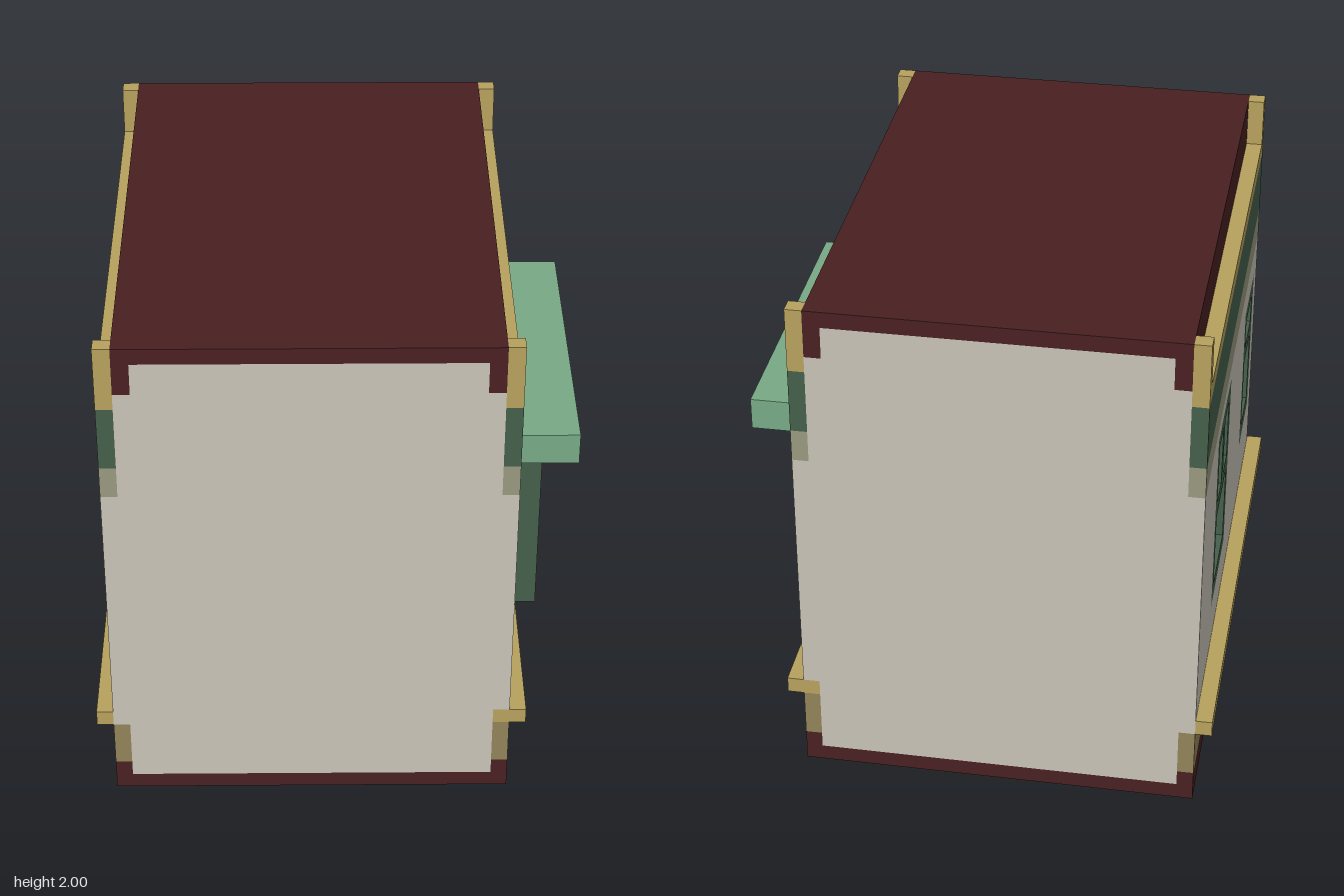
import * as THREE from 'three';

const mat = (name, color) => {
  const m = new THREE.MeshStandardMaterial({ color });
  m.name = name;
  return m;
};

export function createModel() {
  const M = {
    cream: mat('cream plaster', 0xc9c4b8),
    maroon: mat('maroon', 0x4a2022),
    tan: mat('tan trim', 0xb8a25e),
    olive: mat('olive band', 0x92845a),
    sage: mat('sage band', 0x9a9980),
    green: mat('dark green', 0x46604c),
    mint: mat('mint awning', 0x79ab87),
    glass: mat('window glass', 0x6b8179),
  };
  const root = new THREE.Group();
  root.name = 'townhouse';
  const U = 0.0625; // module of wall and trim thickness
  const L = -0.84375, R = 0.65625; // outer wall planes

  // box given by its limits
  function box(name, m, x0, x1, y0, y1, z0, z1, parent = root) {
    const mesh = new THREE.Mesh(new THREE.BoxGeometry(x1 - x0, y1 - y0, z1 - z0), m);
    mesh.name = name;
    mesh.position.set((x0 + x1) / 2, (y0 + y1) / 2, (z0 + z1) / 2);
    parent.add(mesh);
    return mesh;
  }

  // flat panel in the z-y plane with rectangular holes, running from x towards -x
  const corners = ([z0, z1, y0, y1]) =>
    [[z0, y0], [z1, y0], [z1, y1], [z0, y1]].map(p => new THREE.Vector2(...p));
  function panel(name, m, x, outer, holes, parent = root) {
    const shape = new THREE.Shape(corners(outer));
    holes.forEach(h => shape.holes.push(new THREE.Path(corners(h).reverse())));
    const geo = new THREE.ExtrudeGeometry(shape, { depth: U, bevelEnabled: false });
    geo.rotateY(-Math.PI / 2);
    const mesh = new THREE.Mesh(geo, m);
    mesh.name = name;
    mesh.position.x = x;
    parent.add(mesh);
  }

  // core, base and roof
  box('core', M.cream, L + U, R - U, U, 1.8125, -1, 1);
  box('upperCore', M.cream, L + 2 * U, R - 2 * U, 1.8125, 2 - U, -1, 1);
  box('base', M.maroon, L, R, 0, U, -1, 1);
  box('roof', M.maroon, L + U, R - U, 2 - U, 2, -1, 1);

  // banded cladding on both long walls
  const bands = [
    ['plinth', M.maroon, U, 0.125],
    ['lowerBand', M.olive, 0.125, 0.3125],
    ['upperBand', M.sage, 1.375, 1.5],
    ['frieze', M.green, 1.5, 1.75],
    ['cornice', M.tan, 1.75, 1.8125],
  ];
  for (const s of [-1, 1]) {
    const side = s > 0 ? 'right' : 'left';
    const x0 = s > 0 ? R - U : L, x1 = x0 + U;
    const wall = new THREE.Group();
    wall.name = side + 'Cladding';
    root.add(wall);
    for (const [name, m, y0, y1] of bands) box(name, m, x0, x1, y0, y1, -1, 1, wall);
    // parapet backing and corner posts
    box('parapet', M.maroon, x0 - s * U, x1 - s * U, 1.8125, 2 - U, -1, 1, wall);
    for (const z of [-1, 1 - U]) box('cornerPost', M.tan, x0, x1, 1.8125, 2, z, z + U, wall);
  }
  // sill ledges
  box('rightLedge', M.tan, R - U, R + U, 0.3125, 0.375, -1, 1);
  box('leftLedge', M.tan, L - U, L, 0.3125, 0.375, -1, 1);
  box('rightWall', M.cream, R - U, R, 0.375, 1.375, -1, 1);

  // left wall with two recessed windows
  const tall = [-0.53, -0.07, 0.5625, 1.3125];
  const small = [0.52, 0.87, 0.625, 1.25];
  panel('leftWall', M.cream, L + U, [-1, 1, 0.3125, 1.375], [tall, small]);
  panel('tallWindowFrame', M.green, L + U, tall, [
    [tall[0] + U, tall[1] - U, 0.625, 0.9375],
    [tall[0] + U, -0.33, 1, 1.25],
    [-0.27, tall[1] - U, 1, 1.25],
  ]);
  panel('smallWindowFrame', M.green, L + U, small, [
    [small[0] + U, small[1] - U, 0.6875, 1],
    [small[0] + U, small[1] - U, 1.0625, 1.1875],
  ]);
  for (const [z0, z1, y0, y1] of [tall, small])
    box('windowGlass', M.glass, L + U - 0.005, L + U, y0 + 0.03, y1 - 0.03, z0 + 0.03, z1 - 0.03);

  // bay window on the right wall
  const bay = new THREE.Group();
  bay.name = 'bayWindow';
  root.add(bay);
  box('bayGlass', M.glass, R, R + 0.005, 0.53, 1.25, -0.47, 0.47, bay);
  box('baySill', M.green, R, R + 0.125, 0.5, 0.5625, -0.5, 0.5, bay);
  box('bayRail', M.green, R, R + U, 1, 1.0625, -0.4375, 0.4375, bay);
  for (const s of [-1, 1]) {
    const jamb = s * 0.46875, bar = s * 0.21875, h = U / 2;
    box('bayJamb', M.green, R, R + 0.125, 0.5625, 1.25, jamb - h, jamb + h, bay);
    box('bayMullion', M.green, R, R + U, 0.5625, 1, bar - h, bar + h, bay);
  }
  box('awning', M.mint, R, R + 0.25, 1.25, 1.375, -0.625, 0.625, bay);

  return root;
}
